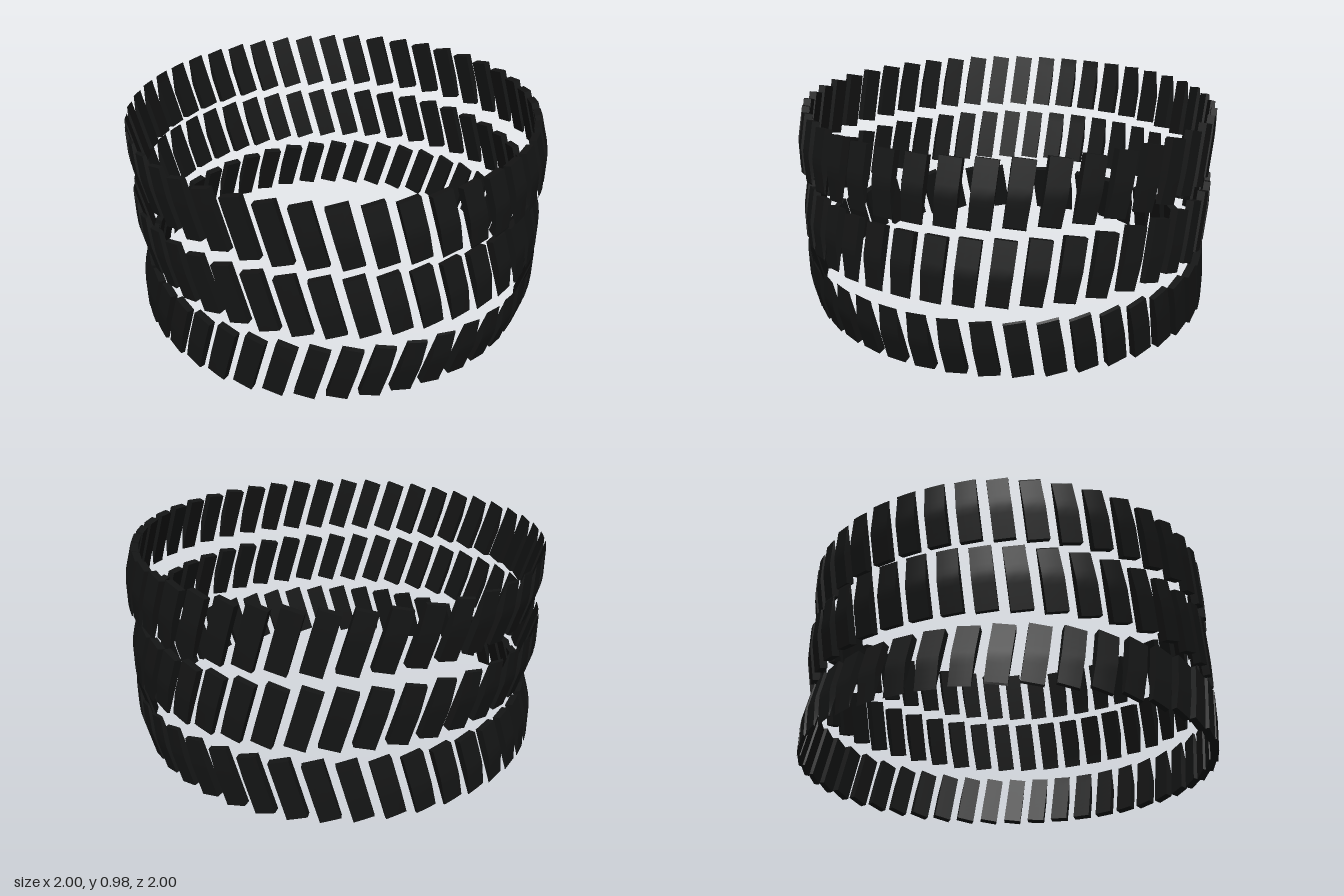
import * as THREE from 'three';

const COUNT = 44;              // blocks per row
const RADIUS = 0.98;           // radius through the block centres
const LIMIT = 1.0;             // outer cylinder that trims the blocks
const SIZE = { w: 0.094, h: 0.28, d: 0.035 };
const TILT = THREE.MathUtils.degToRad(16);

// One slanted block, its corners trimmed to the outer cylinder
function treadBlock(angle, y, tilt) {
  const geo = new THREE.BoxGeometry(SIZE.w, SIZE.h, SIZE.d, 3, 10, 1);
  geo.rotateY(angle);
  geo.rotateZ(tilt);
  geo.translate(Math.sin(angle) * RADIUS, y, Math.cos(angle) * RADIUS);
  const p = geo.attributes.position;
  for (let i = 0; i < p.count; i++) {
    const r = Math.hypot(p.getX(i), p.getZ(i));
    if (r > LIMIT) {
      p.setX(i, p.getX(i) * LIMIT / r);
      p.setZ(i, p.getZ(i) * LIMIT / r);
    }
  }
  geo.computeVertexNormals();
  return geo;
}

export function createModel() {
  const model = new THREE.Group();
  model.name = 'treadRings';
  const rubber = new THREE.MeshStandardMaterial({ color: 0x141515 });

  // Three rows; the middle one is staggered, the lowest slants the other way
  const rows = [
    { name: 'lowerTreadRow', y: 0.148, tilt: -TILT, shift: 0 },
    { name: 'middleTreadRow', y: 0.49, tilt: TILT, shift: 0.5 },
    { name: 'upperTreadRow', y: 0.828, tilt: TILT, shift: 0 },
  ];
  for (const { name, y, tilt, shift } of rows) {
    const row = new THREE.Group();
    row.name = name;
    for (let i = 0; i < COUNT; i++) {
      const angle = ((i + shift) / COUNT) * Math.PI * 2;
      const block = new THREE.Mesh(treadBlock(angle, y, tilt), rubber);
      block.name = 'treadBlock';
      row.add(block);
    }
    model.add(row);
  }
  return model;
}
